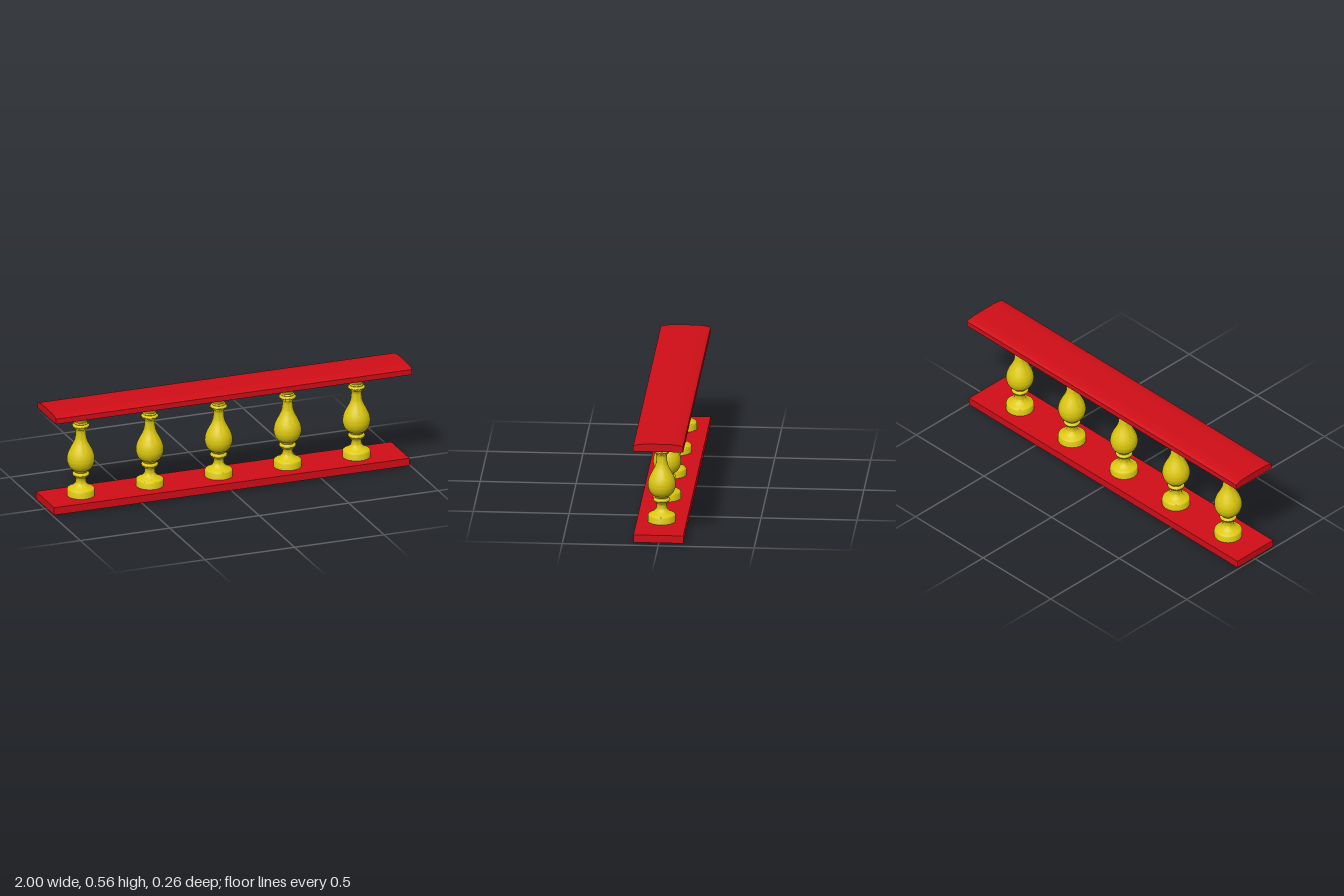
import * as THREE from 'three';
import { toCreasedNormals } from 'three/addons/utils/BufferGeometryUtils.js';

const V = (r, y) => new THREE.Vector2(r, y);
const curve = (pts, n) => new THREE.SplineCurve(pts.map(p => V(...p))).getPoints(n);

// Half-round bead bulging from radius r to r + bulge between two heights
function bead(r, bulge, y0, y1, n = 8) {
  return Array.from({ length: n + 1 }, (_, i) => {
    const a = Math.PI * i / n;
    return V(r + bulge * Math.sin(a), (y0 + y1) / 2 - (y1 - y0) / 2 * Math.cos(a));
  });
}

function balusterGeometry() {
  const profile = [
    // plinth drum and its shoulder
    V(0.0725, 0), V(0.0725, 0.085),
    ...curve([[0.071, 0.089], [0.064, 0.094], [0.051, 0.1], [0.037, 0.11], [0.029, 0.121], [0.027, 0.135], [0.028, 0.147], [0.033, 0.153]], 18),
    // lower collar
    ...bead(0.034, 0.002, 0.154, 0.159, 4),
    ...bead(0.035, 0.0095, 0.161, 0.179),
    V(0.033, 0.181),
    ...bead(0.034, 0.003, 0.183, 0.191, 5),
    // vase-shaped belly and neck
    ...curve([[0.039, 0.192], [0.053, 0.201], [0.066, 0.221], [0.0725, 0.25], [0.069, 0.278], [0.061, 0.3], [0.05, 0.322], [0.039, 0.343], [0.031, 0.365], [0.028, 0.385], [0.027, 0.402], [0.028, 0.415], [0.032, 0.421]], 36),
    // upper collar
    V(0.035, 0.423), V(0.035, 0.429),
    ...bead(0.035, 0.01, 0.43, 0.446),
    ...bead(0.033, 0.003, 0.448, 0.456, 5),
    // flared capital
    ...curve([[0.03, 0.458], [0.034, 0.468], [0.042, 0.477], [0.051, 0.483]], 8),
    ...bead(0.052, 0.0015, 0.484, 0.489, 4),
    ...curve([[0.05, 0.49], [0.061, 0.495], [0.068, 0.503], [0.0725, 0.513], [0.0725, 0.518]], 10),
  ];
  return toCreasedNormals(new THREE.LatheGeometry(profile, 40), 0.7);
}

// Domed handrail section swept along x
function handrailGeometry(x0, x1) {
  const s = new THREE.Shape();
  s.moveTo(-0.13, 0.514);
  s.lineTo(0.13, 0.514);
  s.lineTo(0.13, 0.543);
  s.quadraticCurveTo(0.115, 0.552, 0.07, 0.555);
  s.quadraticCurveTo(0, 0.557, -0.07, 0.555);
  s.quadraticCurveTo(-0.115, 0.552, -0.13, 0.543);
  s.closePath();
  const g = new THREE.ExtrudeGeometry(s, { depth: x1 - x0, bevelEnabled: false, curveSegments: 8 });
  g.rotateY(Math.PI / 2).translate(x0, 0, 0);
  return toCreasedNormals(g, 0.5);
}

export function createModel() {
  const red = new THREE.MeshStandardMaterial({ color: 0xd00e17 });
  const yellow = new THREE.MeshStandardMaterial({ color: 0xdcc80f, side: THREE.DoubleSide });
  const model = new THREE.Group();
  model.name = 'balustrade';

  const add = (name, geometry, material) => {
    const m = new THREE.Mesh(geometry, material);
    m.name = name;
    model.add(m);
    return m;
  };

  add('handrail', handrailGeometry(-0.99, 1), red);
  add('bottomRail', new THREE.BoxGeometry(1.985, 0.041, 0.26), red).position.set(-0.0075, 0.0315, 0);

  // Row of five turned balusters, open underneath
  const geometry = balusterGeometry();
  for (let i = 0; i < 5; i++) {
    add('baluster' + (i + 1), geometry, yellow).position.x = -0.8 + i * 0.385;
  }
  return model;
}
